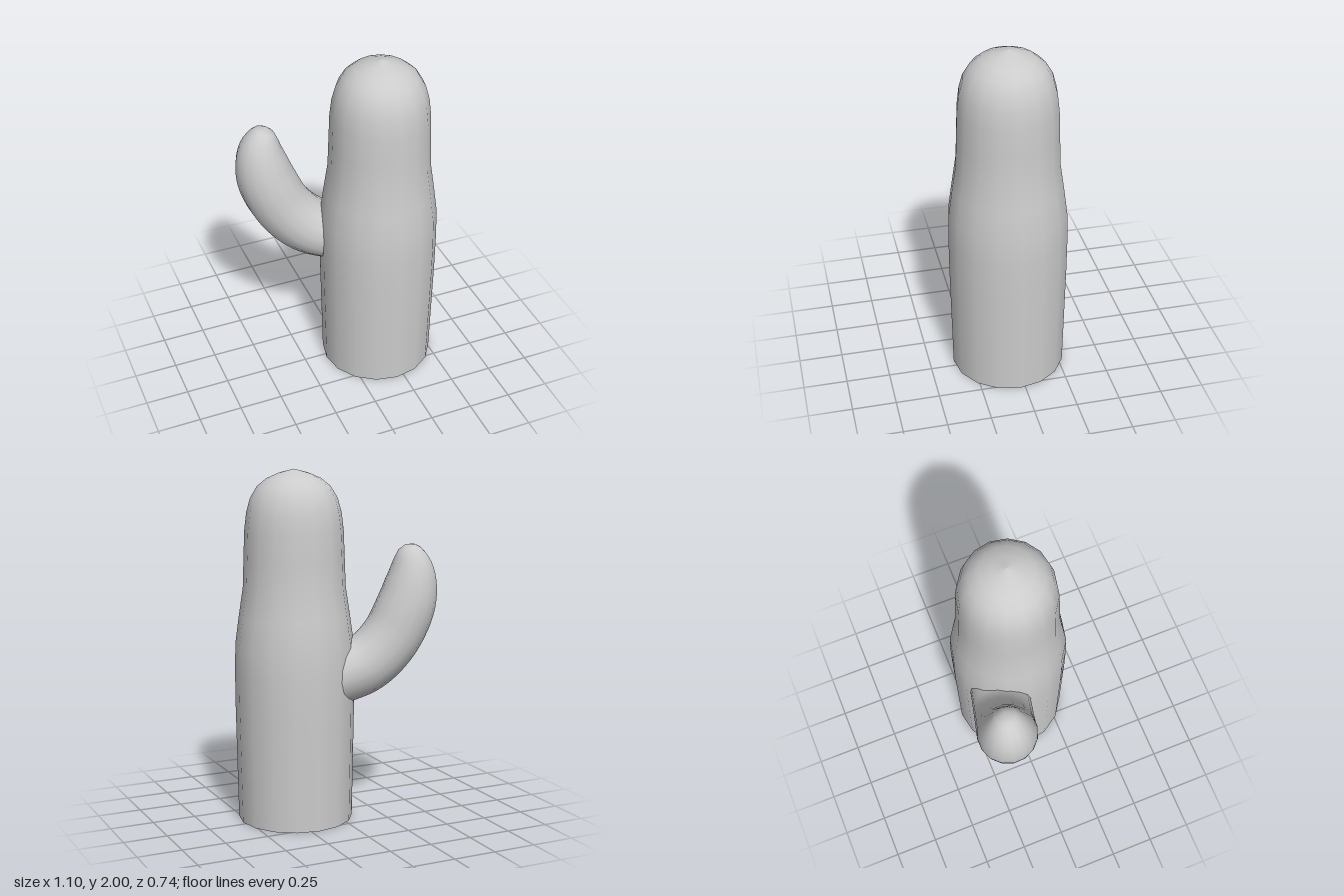
import * as THREE from 'three';
import { mergeVertices } from 'three/addons/utils/BufferGeometryUtils.js';

const material = new THREE.MeshStandardMaterial({ color: 0xcccccc, side: THREE.DoubleSide });

// Tube along a path whose rings are scaled by radiusAt(u)
function taperedTube(path, rings, sides, radiusAt) {
  const tube = new THREE.TubeGeometry(path, rings, 1, sides);
  const pos = tube.attributes.position;
  const v = new THREE.Vector3();
  for (let i = 0; i <= rings; i++) {
    const u = i / rings;
    const centre = path.getPointAt(u);
    for (let j = 0; j <= sides; j++) {
      const k = i * (sides + 1) + j;
      v.fromBufferAttribute(pos, k).sub(centre).multiplyScalar(radiusAt(u)).add(centre);
      pos.setXYZ(k, v.x, v.y, v.z);
    }
  }
  // weld the seam and the tip so that shading is smooth
  tube.deleteAttribute('uv');
  tube.deleteAttribute('normal');
  const welded = mergeVertices(tube, 1e-4);
  welded.computeVertexNormals();
  return welded;
}

export function createModel() {
  const group = new THREE.Group();
  group.name = 'cactus';

  // Trunk: open at the bottom, slightly bulging, with a domed top
  const profile = [
    [0.328, 0], [0.334, 0.35], [0.339, 0.65], [0.34, 0.85], [0.336, 1.02],
    [0.314, 1.18], [0.29, 1.34], [0.284, 1.5], [0.278, 1.66], [0.266, 1.76],
    [0.244, 1.84], [0.205, 1.905], [0.15, 1.95], [0.08, 1.98], [0, 2],
  ].map(([r, y]) => new THREE.Vector2(r, y));
  const trunk = new THREE.Mesh(new THREE.LatheGeometry(profile, 16), material);
  trunk.name = 'trunk';
  trunk.position.set(0.207, 0, 0.03);
  group.add(trunk);

  // Arm: leaves the trunk towards the back and curves upward to a round tip
  const path = new THREE.CatmullRomCurve3([
    [0.05, 0.83, -0.095], [-0.155, 0.905, -0.145], [-0.29, 1.04, -0.18],
    [-0.38, 1.23, -0.205], [-0.407, 1.36, -0.213], [-0.408, 1.44, -0.215],
    [-0.395, 1.51, -0.215], [-0.37, 1.58, -0.215],
  ].map((p) => new THREE.Vector3(...p)));
  const armRadius = (u) => 0.17 * Math.sqrt(Math.max(0, 1 - (Math.max(0, u - 0.55) / 0.45) ** 2));
  const arm = new THREE.Mesh(taperedTube(path, 40, 16, armRadius), material);
  arm.name = 'arm';
  group.add(arm);

  return group;
}
